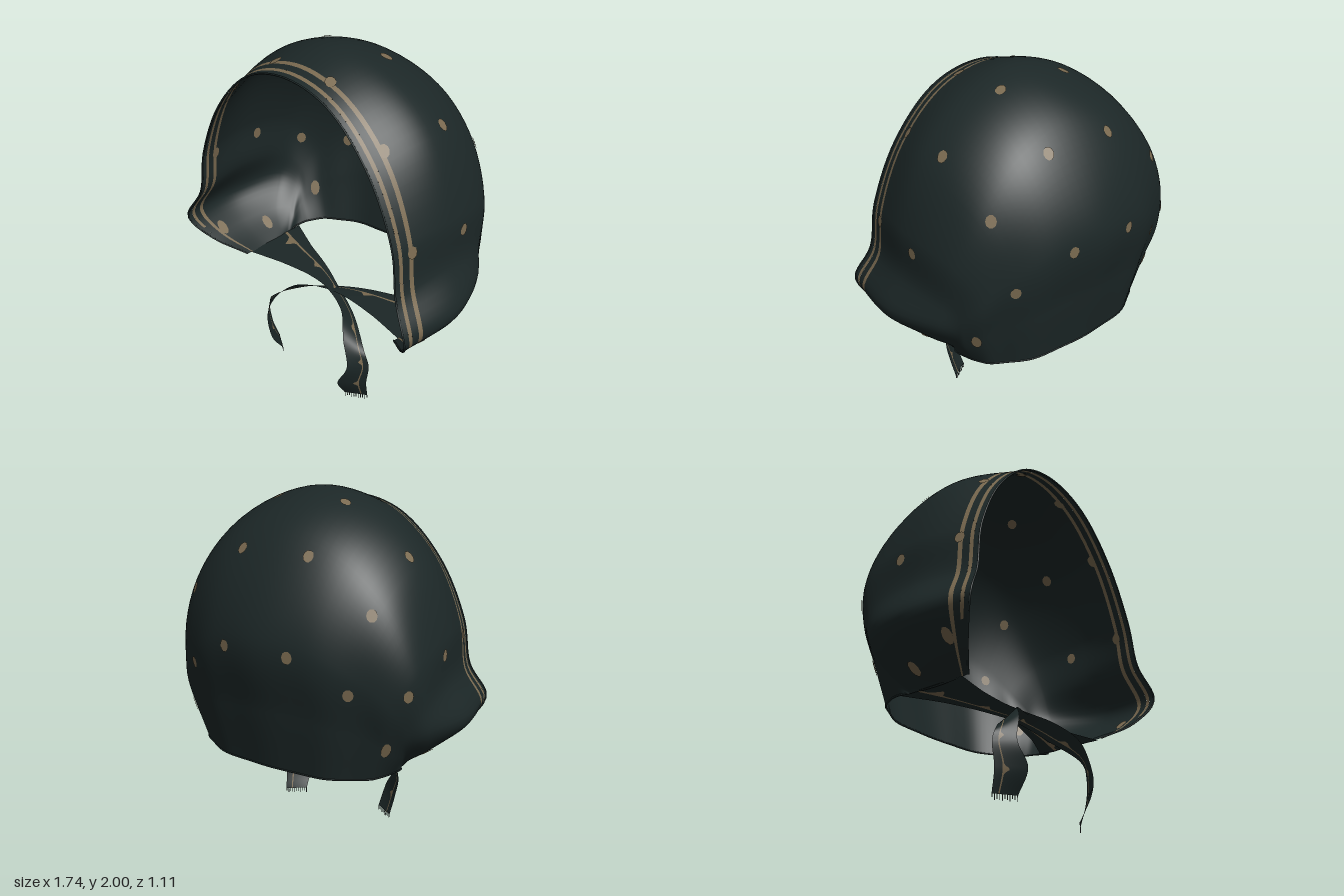
import * as THREE from 'three';
import { ParametricGeometry } from 'three/addons/geometries/ParametricGeometry.js';

const V = (a) => new THREE.Vector3(...a);

// Half arches from crown to ear, running from the face opening to the nape
const ARCHES = [
  [[0, 1.92, .48], [.28, 1.85, .48], [.53, 1.61, .485], [.69, 1.28, .495], [.735, 1.02, .51], [.83, .83, .55], [.74, .68, .46], [.58, .575, .33]],
  [[0, 2, .12], [.33, 1.91, .12], [.6, 1.68, .12], [.755, 1.3, .13], [.775, 1.05, .13], [.865, .82, .17], [.75, .68, .2], [.58, .565, .2]],
  [[0, 1.83, -.27], [.33, 1.74, -.28], [.57, 1.52, -.27], [.72, 1.22, -.22], [.75, 1, -.16], [.77, .83, -.13], [.71, .68, -.02], [.58, .565, .06]],
  [[0, 1.33, -.545], [.27, 1.29, -.515], [.49, 1.17, -.425], [.63, 1.03, -.335], [.69, .9, -.25], [.69, .78, -.19], [.66, .67, -.1], [.59, .565, 0]],
  [[0, .92, -.485], [.26, .9, -.465], [.45, .85, -.39], [.58, .79, -.3], [.63, .72, -.23], [.64, .67, -.16], [.62, .62, -.09], [.59, .565, -.03]],
  [[0, .58, -.415], [.22, .575, -.405], [.4, .575, -.35], [.52, .575, -.27], [.57, .575, -.2], [.59, .575, -.14], [.6, .57, -.09], [.6, .565, -.05]],
].map((half) => new THREE.CatmullRomCurve3([
  ...half.slice(1).reverse().map(([x, y, z]) => V([-x, y, z])),
  ...half.map(V),
]));

// Point on the hood: t goes from right ear to left ear, s from face to nape
function hoodPoint(t, s, target) {
  new THREE.CatmullRomCurve3(ARCHES.map((a) => a.getPoint(t))).getPoint(s, target);
  // soft gathers around the back
  const gather = THREE.MathUtils.smoothstep(s, .45, .75) * Math.sin(Math.PI * t);
  target.z -= .006 * gather * Math.cos((t - .5) * 55);
  // the cloth sags to the right behind the ears
  target.x -= .032 * Math.sin(2 * Math.PI * t) ** 2 * Math.exp(-(((s - .47) / .18) ** 2));
  return target;
}

const hoodBand = (s0, s1, rows, t0 = 0, t1 = 1) => new ParametricGeometry(
  (u, v, target) => hoodPoint(t0 + (t1 - t0) * u, s0 + (s1 - s0) * v, target),
  Math.ceil(84 * (t1 - t0)), rows);

// Tie: centre line and half-width vectors, from the wide flap under the cheek to the loose end
const TIE_LINE = [[.59, .57, .1], [.36, .568, .13], [.15, .563, .16], [0, .55, .2], [-.19, .5, .27], [-.32, .405, .36], [-.365, .29, .375], [-.33, .16, .385], [-.315, .03, .335]];
const TIE_WIDTH = [[0, 0, .2], [0, 0, .12], [0, .005, .07], [0, .015, .045], [.012, .035, .04], [.045, .032, .035], [.04, 0, .045], [.058, 0, .055], [.055, 0, .035]];
const tieLine = new THREE.CatmullRomCurve3(TIE_LINE.map(V));
const tieWidth = new THREE.CatmullRomCurve3(TIE_WIDTH.map(V));

function tiePoint(u, w, side, target) {
  tieLine.getPoint(u, target).addScaledVector(tieWidth.getPoint(u), w);
  target.x *= side;
  // one tie passes over the other, and one ends a little higher
  target.y += side < 0 ? .01 * Math.sin(Math.PI * Math.min(1, u * 1.4)) : .025 * u ** 4;
  return target;
}

// Borders across the tie: the printed line swells into blobs along its length
const TIE_BORDERS = [
  () => -1,
  () => -.5,
  (u) => -.4 + .35 * Math.max(0, Math.cos(12 * Math.PI * u - 2)) ** 8,
  () => 1,
];

const tieBand = (i, side) => new ParametricGeometry((u, v, target) => tiePoint(
  u, THREE.MathUtils.lerp(TIE_BORDERS[i](u), TIE_BORDERS[i + 1](u), v), side, target), 100, 3);

export function createModel() {
  const model = new THREE.Group();
  const material = (name, color) => {
    const m = new THREE.MeshStandardMaterial({ color, side: THREE.DoubleSide });
    m.name = name;
    return m;
  };
  const fabric = material('dark green fabric', 0x1c2727);
  const trim = material('tan print', 0x7a6a50);
  const thread = material('grey thread', 0x4a5050);

  const add = (name, geometry, mat, parent = model) => {
    const mesh = new THREE.Mesh(geometry, mat);
    mesh.name = name;
    parent.add(mesh);
    return mesh;
  };

  // Hood in bands, with two printed stripes behind the face edge; the first fades out below the cheeks
  add('faceHem', hoodBand(0, .017, 2), fabric);
  add('frontStripe', hoodBand(.017, .028, 2, .1, .9), trim);
  add('stripeEndRight', hoodBand(.017, .028, 2, 0, .1), fabric);
  add('stripeEndLeft', hoodBand(.017, .028, 2, .9, 1), fabric);
  add('stripeGap', hoodBand(.028, .049, 2), fabric);
  add('backStripe', hoodBand(.049, .062, 2), trim);
  const shell = add('hoodShell', hoodBand(.062, 1, 60), fabric);

  // Rolled edges at the face and nape
  for (const [name, s] of [['faceEdge', 0], ['napeEdge', 1]]) {
    const pts = Array.from({ length: 61 }, (_, i) => hoodPoint(i / 60, s, new THREE.Vector3()));
    add(name, new THREE.TubeGeometry(new THREE.CatmullRomCurve3(pts), 100, .005, 6), fabric);
  }

  // Printed dots, laid on both faces of the cloth and stretched below the cheeks
  const dots = new THREE.Group();
  dots.name = 'printedDots';
  model.add(dots);
  const pos = shell.geometry.attributes.position;
  const nor = shell.geometry.attributes.normal;
  const disc = new THREE.CircleGeometry(.028, 10);
  const placeDot = (target) => {
    let best = 0, bestD = Infinity;
    const p = new THREE.Vector3();
    for (let i = 0; i < pos.count; i++) {
      const d = p.fromBufferAttribute(pos, i).distanceToSquared(target);
      if (d < bestD) { bestD = d; best = i; }
    }
    const n = new THREE.Vector3().fromBufferAttribute(nor, best);
    p.fromBufferAttribute(pos, best);
    const onCloth = target.clone().addScaledVector(n, -target.clone().sub(p).dot(n));
    for (const face of [1, -1]) {
      const dot = add('dot', disc, trim, dots);
      dot.position.copy(onCloth).addScaledVector(n, face * .004);
      dot.lookAt(dot.position.clone().addScaledVector(n, face));
      dot.scale.y = target.y < .8 ? 1.7 : 1.2;
    }
  };
  const DOTS = [
    [.21, 1.96, 0], [.58, 1.71, 0], [.75, 1.21, .04], [.2, 1.74, -.36], [.55, 1.48, -.34],
    [.19, 1.26, -.54], [.47, 1.09, -.42], [.6, .77, -.26], [.68, .64, .08],
    [.19, 1.93, .375], [.53, 1.69, .375], [.73, 1.23, .39], [.76, .7, .36],
  ];
  for (const [x, y, z] of DOTS) for (const side of [1, -1]) placeDot(new THREE.Vector3(side * x, y, z));
  placeDot(new THREE.Vector3(-.72, 1.08, -.27));

  // Crossed ties with a printed line and a frayed end
  for (const side of [1, -1]) {
    const tie = new THREE.Group();
    tie.name = side > 0 ? 'tieFromLeft' : 'tieFromRight';
    model.add(tie);
    add('outerBand', tieBand(0, side), fabric, tie);
    add('printedLine', tieBand(1, side), trim, tie);
    add('innerBand', tieBand(2, side), fabric, tie);
    const strand = new THREE.BoxGeometry(.003, 1, .003);
    for (let i = 0; i < 11; i++) {
      const top = tiePoint(1, -.97 + i * .194, side, new THREE.Vector3());
      const length = i % 3 === 1 ? .03 : .018 + .003 * (i % 4);
      const mesh = add('fringe', strand, thread, tie);
      mesh.scale.y = length;
      mesh.position.copy(top).y -= length / 2;
    }
  }
  return model;
}
